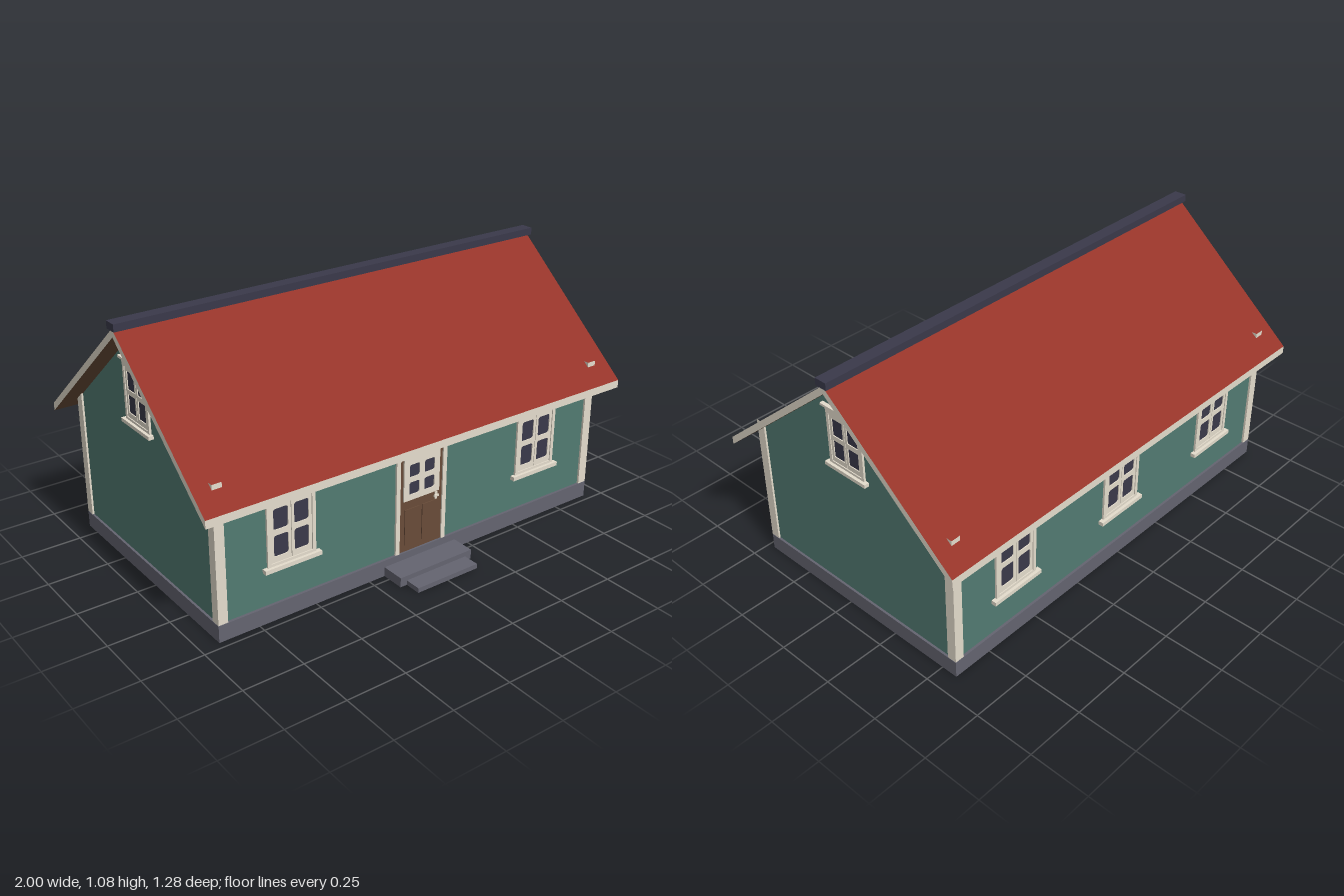
import * as THREE from 'three';

const mat = (name, color) => Object.assign(new THREE.MeshStandardMaterial({ color }), { name });

export function createModel() {
  const red = mat('roofRed', 0x953429);
  const green = mat('wallGreen', 0x527b72);
  const cream = mat('trimCream', 0xe5ddcd);
  const dark = mat('slateDark', 0x3a394a);
  const stone = mat('plinthGrey', 0x646470);
  const wood = mat('doorBrown', 0x694c39);
  stone.side = THREE.DoubleSide; // plinth and steps are open below

  // everything on the house is symmetric about its own centre line
  const house = new THREE.Group();
  house.name = 'house';
  house.position.z = -0.05;

  const WALL_X = 0.914, WALL_Z = 0.511, PLINTH = 0.069, BASE = 0.071;
  const SLOPE = 0.839, RIDGE = 1.05, THICK = 0.033, EAVE = 0.592;
  const TOP = 2, BOTTOM = 3; // box sides

  function add(parent, name, geometry, material, x = 0, y = 0, z = 0) {
    const mesh = new THREE.Mesh(geometry, material);
    mesh.name = name;
    mesh.position.set(x, y, z);
    parent.add(mesh);
    return mesh;
  }
  // box given by its x, y and z ranges, optionally with one side left open
  function box(parent, name, material, x0, x1, y0, y1, z0, z1, open = -1) {
    const geo = new THREE.BoxGeometry(x1 - x0, y1 - y0, z1 - z0);
    if (open >= 0) {
      geo.setIndex(Array.from(geo.index.array).filter((_, i) => Math.floor(i / 6) !== open));
      geo.clearGroups();
    }
    return add(parent, name, geo, material, (x0 + x1) / 2, (y0 + y1) / 2, (z0 + z1) / 2);
  }
  // rounded rectangle outline; r = 0 gives square corners
  function rect(PathType, x0, x1, y0, y1, r = 0) {
    const p = new PathType();
    if (!r) {
      p.moveTo(x0, y0).lineTo(x1, y0).lineTo(x1, y1).lineTo(x0, y1).closePath();
      return p;
    }
    p.absarc(x1 - r, y0 + r, r, -Math.PI / 2, 0);
    p.absarc(x1 - r, y1 - r, r, 0, Math.PI / 2);
    p.absarc(x0 + r, y1 - r, r, Math.PI / 2, Math.PI);
    p.absarc(x0 + r, y0 + r, r, Math.PI, Math.PI * 1.5);
    p.closePath();
    return p;
  }
  // flat panel with openings
  function panel(parent, name, material, outer, holes, z, depth) {
    const shape = rect(THREE.Shape, ...outer);
    shape.holes = holes.map(h => rect(THREE.Path, ...h));
    const geo = new THREE.ExtrudeGeometry(shape, { depth, bevelEnabled: false, curveSegments: 4 });
    return add(parent, name, geo, material, 0, 0, z);
  }

  // hollow plinth, and walls with both gables in one extrusion
  box(house, 'plinth', stone, -0.922, 0.922, 0, PLINTH, -0.52, 0.52, BOTTOM);
  const apex = RIDGE - THICK;
  const eaveY = apex - SLOPE * WALL_Z;
  const gable = new THREE.Shape();
  gable.moveTo(-WALL_Z, BASE).lineTo(WALL_Z, BASE).lineTo(WALL_Z, eaveY)
    .lineTo(0, apex).lineTo(-WALL_Z, eaveY).closePath();
  const wallGeo = new THREE.ExtrudeGeometry(gable, { depth: 2 * WALL_X, bevelEnabled: false });
  wallGeo.translate(0, 0, -WALL_X).rotateY(Math.PI / 2);
  add(house, 'walls', wallGeo, green);

  // corner boards, open at the top, whose tips come through the roof
  for (const sx of [-0.902, 0.902]) for (const sz of [-0.5, 0.5]) {
    box(house, 'cornerBoard', cream, sx - 0.02, sx + 0.02, BASE, 0.634, sz - 0.02, sz + 0.02, TOP);
  }

  // roof slopes: sheared boxes, red above, cream edges, brown soffit
  for (const s of [-1, 1]) {
    const geo = new THREE.BoxGeometry(1.987, THICK, EAVE);
    geo.translate(0, RIDGE - THICK / 2, s * EAVE / 2);
    const p = geo.attributes.position;
    for (let i = 0; i < p.count; i++) p.setY(i, p.getY(i) - SLOPE * Math.abs(p.getZ(i)));
    geo.computeVertexNormals();
    add(house, 'roofSlope', geo, [cream, cream, red, wood, cream, cream]);
  }
  box(house, 'ridgeCap', dark, -1, 1, 1.045, 1.075, -0.027, 0.027);

  // casement window, facing +z with its sill at the origin
  function addWindow(x, y, z, turn, scale, round) {
    const w = new THREE.Group();
    w.name = 'window';
    w.position.set(x, y, z);
    w.rotation.y = turn;
    w.scale.set(scale, scale, 1);
    house.add(w);
    box(w, 'windowSill', cream, -0.123, 0.123, 0, 0.017, -0.005, 0.021);
    panel(w, 'windowFrame', cream, [-0.105, 0.105, 0.016, 0.28],
      [[-0.09, 0.09, 0.028, 0.265]], -0.005, 0.014);
    box(w, 'glass', dark, -0.09, 0.09, 0.028, 0.265, -0.003, 0.002);
    for (const s of [-1, 1]) {
      const span = (a, b) => s > 0 ? [a, b] : [-b, -a];
      const pane = span(0.013, 0.076);
      panel(w, 'sash', cream, [...span(0.0012, 0.0888), 0.029, 0.264],
        [[...pane, 0.052, 0.138, round], [...pane, 0.161, 0.246, round]], -0.002, 0.008);
    }
    box(w, 'windowHeader', cream, -0.108, 0.108, 0.278, 0.296, -0.005, 0.009);
    box(w, 'windowCornice', cream, -0.127, 0.127, 0.294, 0.305, -0.005, 0.016);
  }
  for (const x of [-0.603, 0.603]) addWindow(x, 0.212, WALL_Z, 0, 1, 0.01);
  for (const x of [-0.603, 0, 0.603]) addWindow(x, 0.212, -WALL_Z, Math.PI, 1, 0.01);
  for (const s of [-1, 1]) addWindow(s * WALL_X, 0.64, 0, s * Math.PI / 2, 0.86, 0.002);

  // front door with a four-pane light
  const door = new THREE.Group();
  door.name = 'door';
  door.position.z = WALL_Z;
  house.add(door);
  box(door, 'doorLeaf', wood, -0.106, 0.106, BASE, 0.49, -0.005, 0.003);
  for (const s of [-1, 1]) {
    box(door, 'doorJamb', cream, s * 0.1145 - 0.0095, s * 0.1145 + 0.0095, BASE, 0.5, -0.005, 0.009);
    box(door, 'doorPanel', wood, s * 0.043 - 0.036, s * 0.043 + 0.036, 0.1, 0.255, 0, 0.007);
  }
  box(door, 'doorLintel', cream, -0.124, 0.124, 0.488, 0.507, -0.005, 0.009);
  box(door, 'doorCornice', cream, -0.135, 0.135, 0.505, 0.515, -0.005, 0.016);
  box(door, 'doorGlass', dark, -0.08, 0.08, 0.303, 0.462, 0, 0.005);
  const lights = [];
  for (const s of [-1, 1]) for (const y of [0.318, 0.393]) {
    lights.push([s * 0.037 - 0.025, s * 0.037 + 0.025, y, y + 0.053, 0.009]);
  }
  panel(door, 'doorLight', cream, [-0.088, 0.088, 0.294, 0.482], lights, 0.002, 0.007);
  box(door, 'handlePlate', cream, 0.07, 0.081, 0.258, 0.289, 0.002, 0.007);
  box(door, 'handle', cream, 0.062, 0.084, 0.271, 0.279, 0.007, 0.014);

  // two hollow stone steps
  box(house, 'upperStep', stone, -0.178, 0.178, 0, 0.04, 0.52, 0.62, BOTTOM);
  box(house, 'lowerStep', stone, -0.148, 0.148, 0, 0.02, 0.62, 0.69, BOTTOM);

  const model = new THREE.Group();
  model.name = 'cottage';
  model.add(house);
  return model;
}
